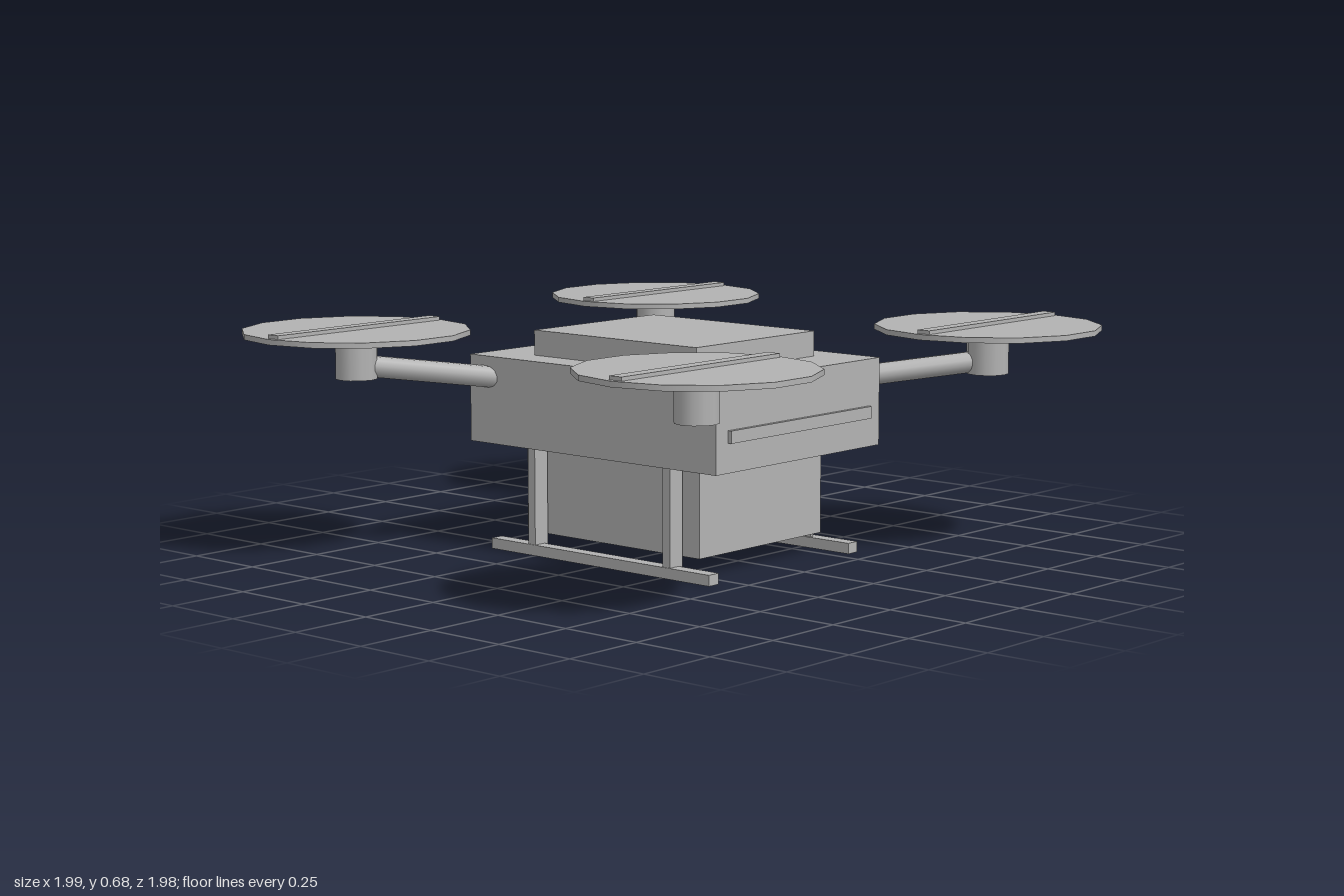
import * as THREE from 'three';

const grey = new THREE.MeshStandardMaterial({ color: 0xb3b3b3 });
grey.name = 'grey';

function add(parent, name, geometry, x = 0, y = 0, z = 0) {
  const mesh = new THREE.Mesh(geometry, grey);
  mesh.name = name;
  mesh.position.set(x, y, z);
  parent.add(mesh);
  return mesh;
}

// Box given by its lower and upper limits on each axis
function box(parent, name, [x0, x1], [y0, y1], [z0, z1]) {
  return add(parent, name, new THREE.BoxGeometry(x1 - x0, y1 - y0, z1 - z0),
    (x0 + x1) / 2, (y0 + y1) / 2, (z0 + z1) / 2);
}

// Round bar between two points
function bar(parent, name, from, to, radius) {
  const dir = to.clone().sub(from);
  const mesh = add(parent, name, new THREE.CylinderGeometry(radius, radius, dir.length(), 12));
  mesh.position.copy(from).add(to).multiplyScalar(0.5);
  mesh.quaternion.setFromUnitVectors(new THREE.Vector3(0, 1, 0), dir.normalize());
  return mesh;
}

// Arm, motor, rotor disc and blade for one corner
function rotorUnit(sx, sz) {
  const unit = new THREE.Group();
  unit.name = 'rotorUnit';
  const x = sx * 0.66, z = sz * 0.661;
  bar(unit, 'arm', new THREE.Vector3(sx * 0.3, 0.514, sz * 0.35), new THREE.Vector3(x, 0.565, z), 0.032);
  add(unit, 'motor', new THREE.CylinderGeometry(0.063, 0.063, 0.13, 12), x, 0.59, z);
  const disc = new THREE.CylinderGeometry(0.337, 0.337, 0.016, 14).rotateY(Math.PI / 2);
  add(unit, 'rotorDisc', disc, x, 0.663, z);
  add(unit, 'rotorBlade', new THREE.BoxGeometry(0.64, 0.014, 0.043), x, 0.675, z);
  return unit;
}

export function createModel() {
  const model = new THREE.Group();
  model.name = 'deliveryDrone';

  // Hull, top cover, cargo box and front strip
  box(model, 'hull', [-0.37, 0.37], [0.325, 0.585], [-0.48, 0.48]);
  box(model, 'topCover', [-0.265, 0.265], [0.585, 0.66], [-0.317, 0.317]);
  box(model, 'cargoBox', [-0.275, 0.275], [0.057, 0.325], [-0.338, 0.338]);
  box(model, 'frontStrip', [-0.318, 0.318], [0.41, 0.446], [0.47, 0.492]);

  for (const sx of [-1, 1]) {
    for (const sz of [-1, 1]) model.add(rotorUnit(sx, sz));

    // Landing skid on two legs; the legs on the -x side are wider
    box(model, 'skid', sx < 0 ? [-0.338, -0.296] : [0.296, 0.338], [0, 0.032], [-0.428, 0.428]);
    for (const z of [-0.265, 0.265]) {
      if (sx < 0) box(model, 'wideLeg', [-0.335, -0.281], [0.004, 0.33], [z - 0.014, z + 0.014]);
      else box(model, 'thinLeg', [0.302, 0.313], [0.03, 0.33], [z - 0.014, z + 0.014]);
    }
  }
  return model;
}
